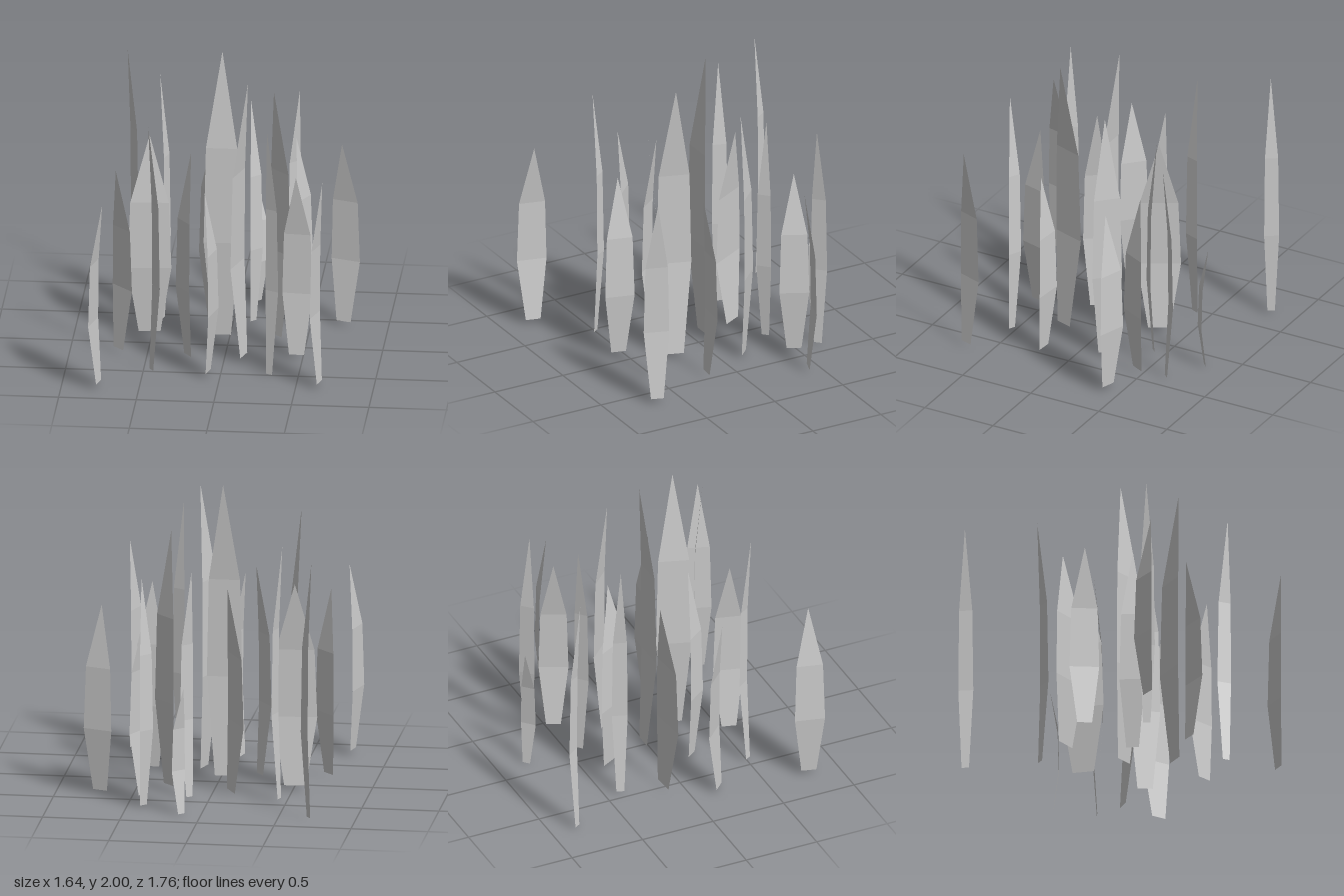
import * as THREE from 'three';

// One blade per row: x, z, facing in degrees, full width, bow depth, tip height, root height
const BLADES = [
  [-0.674, -0.839, -55, 0.097, 0.052, 1.7, 0.015],
  [0.152, -0.769, -137, 0.102, 0.058, 0.84, 0],
  [0.371, -0.678, 45, 0.106, 0.053, 1.52, 0.01],
  [-0.421, -0.39, -108, 0.103, 0.053, 1.7, 0.015],
  [0.152, -0.393, -137, 0.1, 0.057, 1.52, 0.01],
  [0.46, -0.446, -116, 0.192, 0.065, 1.26, 0.03],
  [0.722, -0.442, -18, 0.197, 0.061, 1.26, 0.03],
  [-0.154, -0.301, 119, 0.282, 0.055, 1.375, 0.03],
  [0.325, -0.187, -45, 0.198, 0.056, 1.7, 0.015],
  [-0.512, -0.093, -176, 0.281, 0.055, 1.375, 0.03],
  [-0.04, -0.003, 180, 0.23, 0.07, 2.0, 0.055],
  [-0.664, 0.166, -45, 0.192, 0.055, 1.26, 0.03],
  [-0.271, 0.229, 127, 0.164, 0.066, 1.4, 0.005],
  [0.084, 0.231, 72, 0.23, 0.073, 1.91, 0.03],
  [0.465, 0.168, -5, 0.197, 0.057, 1.26, 0.03],
  [-0.418, 0.488, -55, 0.097, 0.058, 1.7, 0.015],
  [-0.042, 0.556, -105, 0.194, 0.06, 1.26, 0.03],
  [0.329, 0.488, -27, 0.094, 0.06, 1.7, 0.015],
  [0.621, 0.659, 72, 0.167, 0.052, 1.41, 0.03],
  [-0.797, 0.783, 76, 0.197, 0.062, 1.26, 0.03],
];

// Cross-sections from root to shoulder: height, half width, bow (as fractions)
const SECTIONS = [
  [0, 0.25, 0.6],
  [1 / 3, 0.5, 0],
  [2 / 3, 0.44, 0.13],
];

// Thin pointed sheet, bowed towards +z at the root and the tip
function bladeGeometry(width, bow, height, root) {
  const positions = [];
  const rise = height - root;
  for (const [y, half, z] of SECTIONS) {
    positions.push(-half * width, root + y * rise, z * bow);
    positions.push(half * width, root + y * rise, z * bow);
  }
  positions.push(0, height, bow);
  const index = [];
  for (let i = 0; i < 4; i += 2) {
    index.push(i, i + 1, i + 3, i, i + 3, i + 2);
  }
  index.push(4, 5, 6);
  const geometry = new THREE.BufferGeometry();
  geometry.setAttribute('position', new THREE.Float32BufferAttribute(positions, 3));
  geometry.setIndex(index);
  geometry.computeVertexNormals();
  return geometry;
}

export function createModel() {
  const group = new THREE.Group();
  group.name = 'grassPatch';
  const material = new THREE.MeshStandardMaterial({
    color: 0xcccccc,
    flatShading: true,
    side: THREE.DoubleSide,
  });
  BLADES.forEach(([x, z, facing, width, bow, height, root], i) => {
    const blade = new THREE.Mesh(bladeGeometry(width, bow, height, root), material);
    blade.name = `grassBlade${i + 1}`;
    blade.position.set(x, 0, z);
    blade.rotation.y = THREE.MathUtils.degToRad(facing);
    group.add(blade);
  });
  return group;
}
